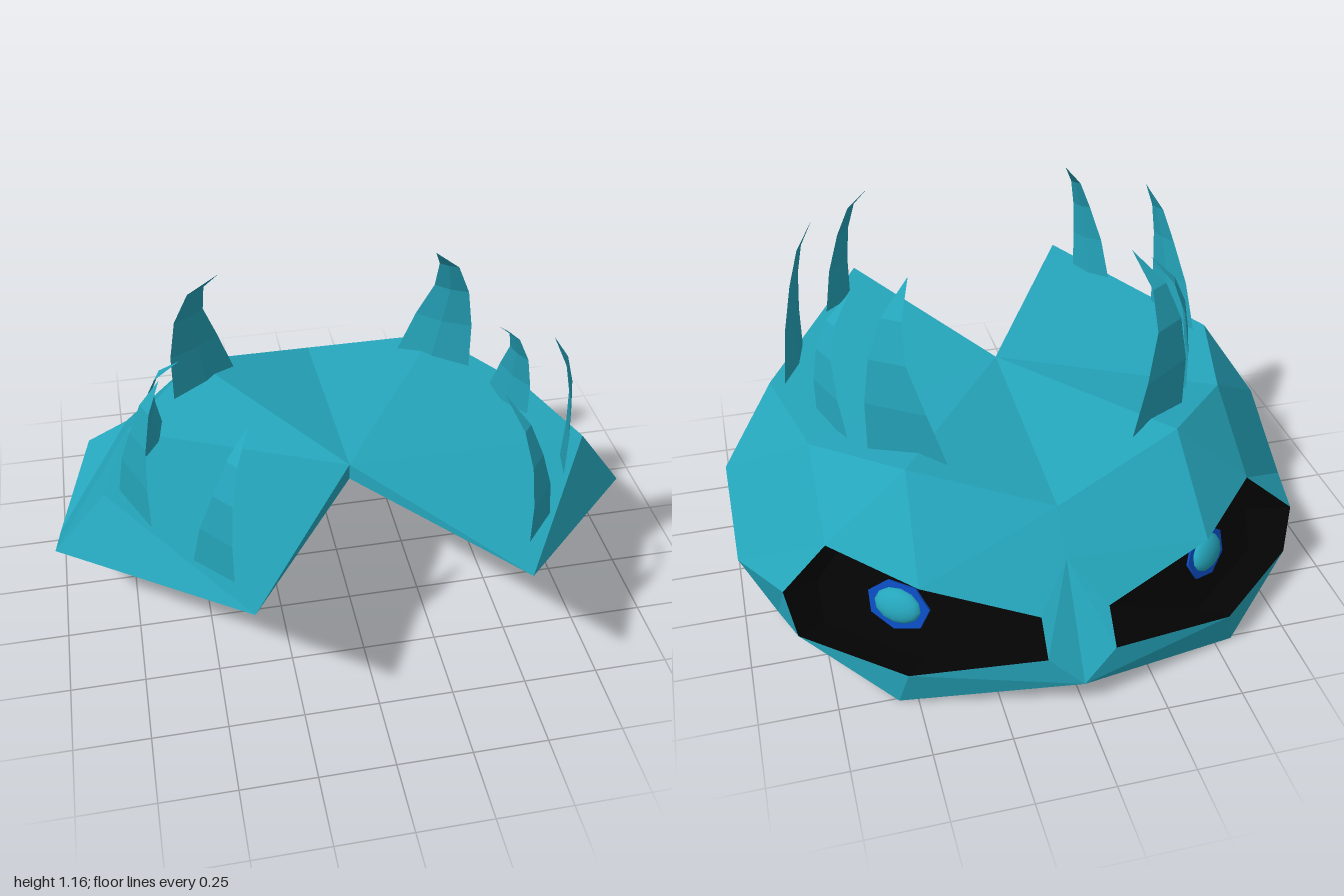
import * as THREE from 'three';

const v = (x, y, z) => new THREE.Vector3(x, y, z);

// Flat-shaded mesh from convex polygons; outward(centroid) tells which way each face looks
function facets(polys, outward, material, name) {
  const pos = [];
  for (const poly of polys) {
    for (let i = 1; i < poly.length - 1; i++) {
      const a = poly[0];
      let b = poly[i], c = poly[i + 1];
      const n = b.clone().sub(a).cross(c.clone().sub(a));
      const mid = a.clone().add(b).add(c).divideScalar(3);
      if (n.dot(outward(mid)) < 0) [b, c] = [c, b];
      for (const p of [a, b, c]) pos.push(p.x, p.y, p.z);
    }
  }
  const g = new THREE.BufferGeometry();
  g.setAttribute('position', new THREE.Float32BufferAttribute(pos, 3));
  g.computeVertexNormals();
  const m = new THREE.Mesh(g, material);
  m.name = name;
  return m;
}

// Curved horn: thin triangular section that narrows towards edge p, then bends to the tip
function horn(p, q, tip, baseY, material, name) {
  const levels = [[0, 1, 0], [0.33, 0.75, 0], [0.6, 0.45, 0.13], [0.82, 0.25, 0.42], [1, 0, 1]];
  const inward = v(-(p.x + q.x) / 2, 0, -(p.z + q.z) / 2 + 0.15).normalize();
  const rings = levels.map(([h, w, bend]) => {
    const y = baseY + (tip.y - baseY) * h;
    const a = v(p.x + (tip.x - p.x) * bend, y, p.z + (tip.z - p.z) * bend);
    const b = a.clone().add(v(q.x - p.x, 0, q.z - p.z).multiplyScalar(w));
    const c = a.clone().lerp(b, 0.5).addScaledVector(inward, 0.018 * w);
    return [a, b, c];
  });
  const group = new THREE.Group();
  group.name = name;
  for (let i = 0; i < rings.length - 1; i++) {
    const lo = rings[i], hi = rings[i + 1];
    const core = [...lo, ...hi].reduce((s, r) => s.add(r), v(0, 0, 0)).divideScalar(6);
    const polys = [0, 1, 2].map((k) => {
      const j = (k + 1) % 3;
      return i === rings.length - 2 ? [lo[k], lo[j], hi[j]] : [lo[k], lo[j], hi[j], hi[k]];
    });
    group.add(facets(polys, (m) => m.clone().sub(core), material, 'hornSegment'));
  }
  return group;
}

export function createModel() {
  const mat = (name, color) => new THREE.MeshStandardMaterial({ name, color });
  const teal = mat('teal', 0x25a5bb);
  const black = mat('black', 0x040404);
  const blue = mat('blue', 0x0a49bb);

  // Upper rim, from nose bridge round to the rear tip
  const T = [v(0, 0.53, -0.58), v(0.45, 0.64, -0.42), v(0.72, 0.58, -0.12), v(0.81, 0.61, 0.24)];
  const tip = v(0.41, 0.67, 0.915);
  // Lower rim
  const L = [v(0, 0.09, -0.92), v(0.56, 0, -0.76), v(0.89, 0.02, -0.28), v(1, 0.15, -0.13), v(1, 0.33, 0.17)];
  // Eye socket corners, nose and notch
  const A = v(0.72, 0.395, -0.425), B = v(0.47, 0.39, -0.695), C = v(0.11, 0.285, -0.80);
  const D = v(0.11, 0.185, -0.885), E = v(0.53, 0.13, -0.79), F = v(0.84, 0.13, -0.53), G = v(0.87, 0.28, -0.48);
  const N = v(0, 0.41, -0.69);
  const notchTop = v(0, 0.6, 0.23), notchLow = v(0, 0.54, 0.23);

  const half = new THREE.Group();
  const fromCore = (m) => m.clone().sub(v(0, 0.35, -0.1));
  const fan = (apex, pts) => pts.slice(1).map((p, i) => [apex, pts[i], p]);

  half.add(
    facets(fan(notchTop, [...T, tip]), () => v(0, 1, 0), teal, 'topPlate'),
    facets(fan(notchLow, [...L, tip]), () => v(0, -1, 0), teal, 'underside'),
    facets([[notchTop, notchLow, tip]], () => v(-1, 0, 1), teal, 'notchWall'),
    facets([
      [T[0], T[1], B], [T[0], B, N], [N, B, C], [T[1], A, B], [T[1], T[2], A],
    ], fromCore, teal, 'brow'),
    facets([[N, C, D, L[0]]], fromCore, teal, 'nose'),
    facets([
      [T[2], L[3], A], [A, L[3], G], [T[2], T[3], L[4], L[3]], [T[3], tip, L[4]],
    ], fromCore, teal, 'cheek'),
    facets([
      [G, L[3], L[2]], [G, L[2], F], [F, L[2], L[1]], [F, L[1], E], [E, L[1], L[0]], [E, L[0], D],
    ], fromCore, teal, 'jaw'),
  );

  // Sunken black socket: side walls and a flat back that runs out towards the nose
  const n = v(0.593, 0.38, -0.707).normalize();
  const eyeCentre = v(0.52, 0.235, -0.58);
  const [Ai, Bi, Ei, Fi, Gi] = [A, B, E, F, G].map((p) => {
    const depth = p.clone().sub(eyeCentre).dot(n) + 0.008;
    return p.clone().addScaledVector(n, -depth).lerp(eyeCentre, 0.08);
  });
  const mouth = v(0.62, 0.26, -0.65);
  half.add(facets([
    [A, B, Bi, Ai], [B, C, Bi], [A, G, Gi, Ai], [G, F, Fi, Gi], [F, E, Ei, Fi], [E, D, Ei],
    [C, D, Ei, Bi], [Bi, Ei, Fi, Gi, Ai],
  ], (m) => mouth.clone().sub(m), black, 'eyeSocket'));

  // Eye: flat blue plate with a low dome at the back of the socket
  const eye = new THREE.Group();
  eye.name = 'eye';
  eye.position.copy(eyeCentre);
  eye.lookAt(eyeCentre.clone().add(n));
  const ring = new THREE.Mesh(new THREE.CylinderGeometry(1, 1, 0.008, 7).rotateX(Math.PI / 2).scale(0.115, 0.08, 1), blue);
  ring.name = 'eyeRing';
  const dome = new THREE.Mesh(
    new THREE.SphereGeometry(1, 12, 5, 0, Math.PI * 2, 0, Math.PI / 2).rotateX(Math.PI / 2).scale(0.085, 0.058, 0.035), teal);
  dome.name = 'eyeDome';
  eye.add(ring, dome);
  half.add(eye);

  // Four horns along the upper rim
  const horns = [
    ['frontHorn', v(0.54, 0, -0.235), v(0.305, 0, -0.395), v(0.365, 1.16, -0.135), 0.6],
    ['secondHorn', v(0.67, 0, 0.065), v(0.59, 0, -0.145), v(0.525, 1.0, 0.1), 0.57],
    ['thirdHorn', v(0.67, 0, 0.445), v(0.76, 0, 0.22), v(0.6, 1.14, 0.39), 0.6],
    ['rearHorn', v(0.45, 0, 0.76), v(0.56, 0, 0.63), v(0.37, 1.13, 0.63), 0.63],
  ];
  for (const [name, p, q, t, y] of horns) half.add(horn(p, q, t, y, teal, name));

  half.name = 'leftHalf';
  const other = half.clone();
  other.name = 'rightHalf';
  other.scale.x = -1;

  const model = new THREE.Group();
  model.name = 'hornedHeadShell';
  model.add(half, other);
  return model;
}
